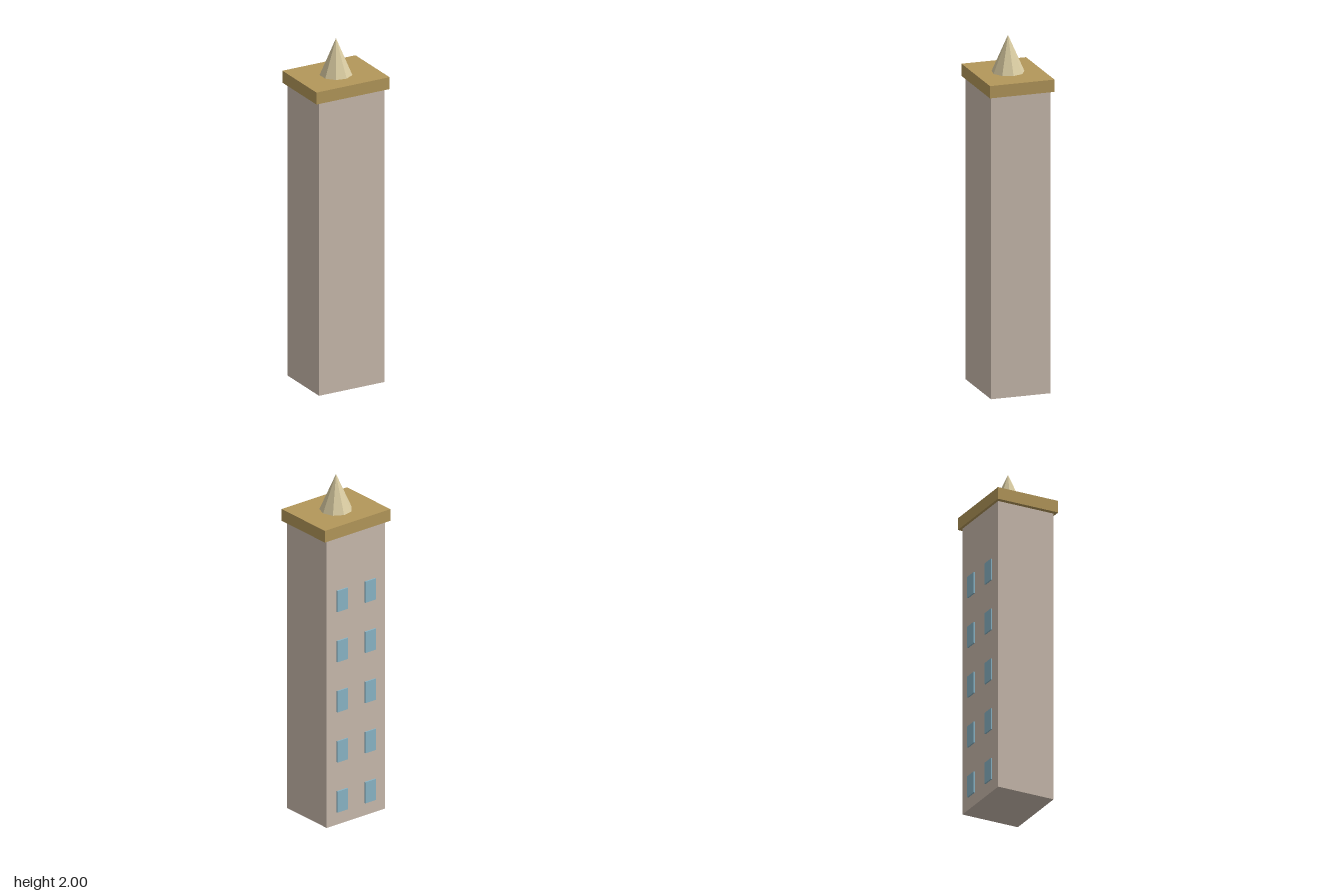
import * as THREE from 'three';

const material = (name, color, options = {}) => {
  const m = new THREE.MeshStandardMaterial({ color, ...options });
  m.name = name;
  return m;
};

export function createModel() {
  const model = new THREE.Group();
  model.name = 'tower';

  const wall = material('wall beige', 0xc9baad);
  const cap = material('roof ochre', 0xb3975a);
  const cone = material('spire cream', 0xd9cba1, { flatShading: true });
  const glass = material('window blue', 0x8ab5c6);

  const add = (name, geometry, mat, x, y, z) => {
    const mesh = new THREE.Mesh(geometry, mat);
    mesh.name = name;
    mesh.position.set(x, y, z);
    model.add(mesh);
    return mesh;
  };

  // Tower body and overhanging roof slab
  add('towerBody', new THREE.BoxGeometry(0.41, 1.72, 0.344), wall, 0, 0.86, 0);
  add('roofSlab', new THREE.BoxGeometry(0.46, 0.07, 0.374), cap, 0, 1.755, 0);

  // Nine-sided spire with one corner pointing to +x
  const spire = add('spire', new THREE.ConeGeometry(0.091, 0.21, 9), cone, 0, 1.895, 0);
  spire.rotation.y = Math.PI / 2;

  // Two columns of five windows on the back wall
  const pane = new THREE.BoxGeometry(0.073, 0.126, 0.008);
  for (let floor = 0; floor < 5; floor++) {
    for (const side of [-1, 1]) {
      add('window', pane, glass, side * 0.098, 0.137 + floor * 0.3, -0.176);
    }
  }
  return model;
}
